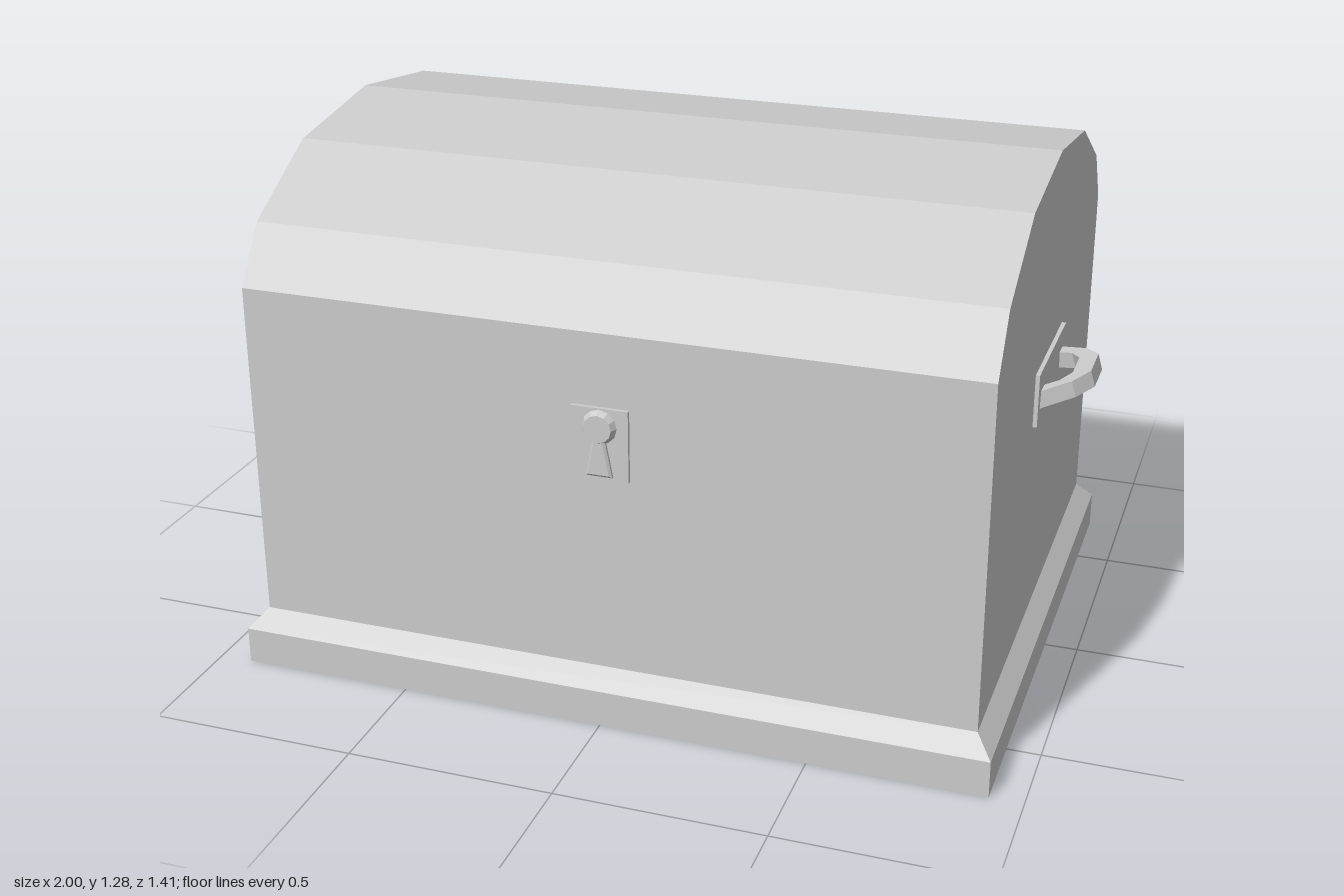
import * as THREE from 'three';

export function createModel() {
  const model = new THREE.Group();
  const material = new THREE.MeshStandardMaterial({ color: 0xcccccc, flatShading: true });

  function add(name, geometry, parent = model) {
    const mesh = new THREE.Mesh(geometry, material);
    mesh.name = name;
    parent.add(mesh);
    return mesh;
  }
  const box = (w, h, d, x, y, z) => new THREE.BoxGeometry(w, h, d).translate(x, y, z);
  const polygon = (points) => new THREE.Shape(points.map(([x, y]) => new THREE.Vector2(x, y)));
  const extrude = (points, depth, bevel = {}) =>
    new THREE.ExtrudeGeometry(polygon(points), { depth, bevelEnabled: false, ...bevel });

  // Plinth: a box whose top edge is chamfered up to the chest walls
  const plinth = new THREE.BoxGeometry(1.84, 0.135, 1.41, 1, 2, 1);
  const pos = plinth.attributes.position;
  for (let i = 0; i < pos.count; i++) {
    const y = pos.getY(i);
    if (y > 0.01) pos.setXYZ(i, Math.sign(pos.getX(i)) * 0.88, 0.135, Math.sign(pos.getZ(i)) * 0.663);
    else pos.setY(i, y < -0.01 ? 0 : 0.09);
  }
  add('plinth', plinth);

  // Chest with a faceted barrel lid, extruded along x
  const half = [[0.663, 0.135], [0.663, 0.97], [0.573, 1.103], [0.332, 1.235]];
  const mirrored = half.map(([z, y]) => [-z, y]).reverse();
  add('chestBody', extrude([...half, [0, 1.28], ...mirrored], 1.76)
    .translate(0, 0, -0.88).rotateY(-Math.PI / 2));

  // Lock plate with a raised keyhole
  const lock = new THREE.Group();
  lock.name = 'lock';
  model.add(lock);
  add('lockPlate', box(0.136, 0.174, 0.014, 0, 0.708, 0.665), lock);
  add('keyholeRound', new THREE.CylinderGeometry(0.033, 0.042, 0.016, 12)
    .rotateX(Math.PI / 2).translate(0, 0.75, 0.679), lock);
  add('keyholeSlot', extrude(
    [[-0.025, 0.637], [0.025, 0.637], [0.007, 0.73], [-0.007, 0.73]], 0.006,
    { bevelEnabled: true, bevelSegments: 1, bevelSize: 0.006, bevelThickness: 0.005 },
  ).translate(0, 0, 0.672), lock);

  // Side handles: angular grip tilted upwards on a flat plate
  const outer = [[-0.005, 0.16], [0.088, 0.107], [0.125, 0.055]];
  const inner = [[-0.005, 0.118], [0.055, 0.088], [0.08, 0.047]];
  const flip = (points) => points.map(([u, v]) => [u, -v]);
  const grip = [...flip(outer), ...outer.slice().reverse(), ...inner, ...flip(inner).reverse()];
  for (const side of [1, -1]) {
    const handle = new THREE.Group();
    handle.name = side > 0 ? 'leftHandle' : 'rightHandle';
    handle.rotation.y = side > 0 ? 0 : Math.PI;
    model.add(handle);
    add('handlePlate', box(0.015, 0.13, 0.352, 0.8825, 0.73, 0), handle);
    add('handleGrip', extrude(grip, 0.04).rotateX(-Math.PI / 2)
      .rotateZ(0.28).translate(0.88, 0.7, 0), handle);
  }

  // Back hinges: flat leaf and a round pin
  for (const side of [1, -1]) {
    const hinge = new THREE.Group();
    hinge.name = side > 0 ? 'leftHinge' : 'rightHinge';
    hinge.position.x = side * 0.528;
    model.add(hinge);
    add('hingeLeaf', box(0.262, 0.15, 0.012, 0, 0.882, -0.665), hinge);
    add('hingePin', new THREE.CylinderGeometry(0.013, 0.013, 0.262, 8)
      .rotateZ(Math.PI / 2).translate(0, 0.882, -0.675), hinge);
  }

  return model;
}
